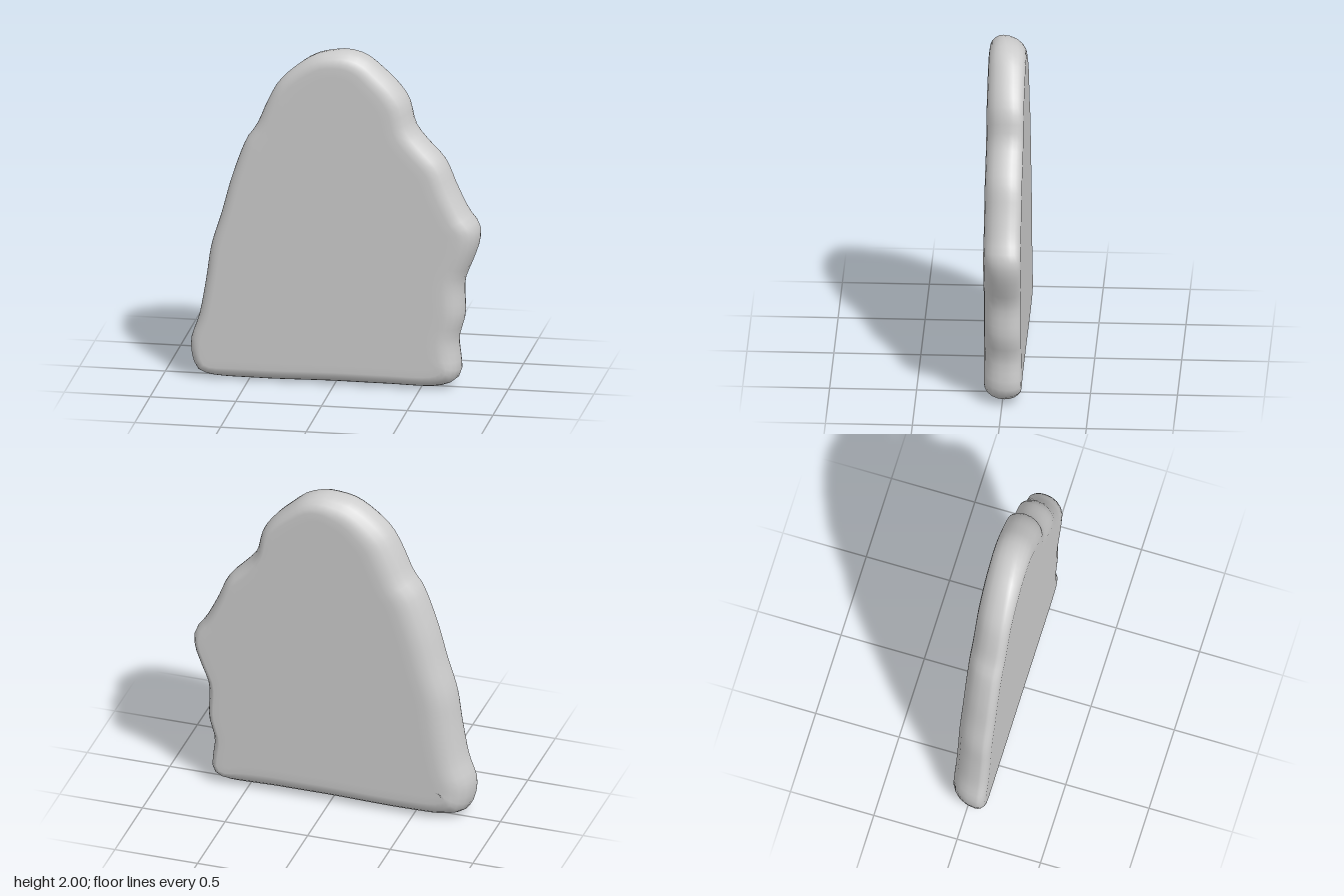
import * as THREE from 'three';

// Silhouette, counter-clockwise from the lower right corner
const OUTLINE = [
  [0.62, 0.015], [0.70, 0.05], [0.725, 0.1], [0.72, 0.18], [0.71, 0.29], [0.745, 0.43], [0.745, 0.64],
  [0.79, 0.76], [0.83, 0.88], [0.83, 0.97], [0.77, 1.06], [0.7, 1.2], [0.63, 1.36], [0.53, 1.47],
  [0.46, 1.56], [0.42, 1.71], [0.36, 1.8], [0.27, 1.89], [0.17, 1.97], [0.07, 2], [-0.02, 1.995],
  [-0.12, 1.97], [-0.24, 1.89], [-0.33, 1.8], [-0.39, 1.69], [-0.46, 1.53], [-0.51, 1.46], [-0.6, 1.22],
  [-0.66, 1], [-0.72, 0.8], [-0.75, 0.6], [-0.79, 0.38], [-0.84, 0.21], [-0.8, 0.05], [-0.72, 0.015],
  [-0.45, 0.003], [0, 0.01], [0.3, 0.01],
];
const SEGMENTS = 120, STEPS = 5;
const FRONT = 0.107, BACK = -0.11;

function slabGeometry() {
  const curve = new THREE.CatmullRomCurve3(OUTLINE.map(([x, y]) => new THREE.Vector3(x, y, 0)), true);
  const pts = curve.getSpacedPoints(SEGMENTS).slice(0, SEGMENTS);
  const at = (i) => pts[(i + SEGMENTS) % SEGMENTS];

  // Outward direction, averaged over neighbours so that insets stay clean
  const normals = pts.map((_, i) => {
    const d = at(i + 3).clone().sub(at(i - 3)).normalize();
    return new THREE.Vector2(d.y, -d.x);
  });

  // Rounded rim: the bevel leans backward on the left edge, forward on the right
  const rings = [];
  const addRing = (place) => rings.push(pts.map((p, i) => {
    const n = normals[i], { inset, z } = place(n.x, n.y);
    return [p.x - n.x * inset, Math.max(0, p.y - n.y * inset), z];
  }));
  const frontBevel = (nx, ny) => 0.09 + 0.03 * nx - 0.02 * Math.max(0, -ny);
  const backBevel = (nx) => 0.1 - 0.055 * nx;
  const ridge = (nx) => 0.015 - 0.045 * nx;

  addRing((nx, ny) => ({ inset: frontBevel(nx, ny) + 0.05, z: FRONT }));
  for (let s = STEPS; s >= 0; s--) {
    const a = (s / STEPS) * Math.PI / 2;
    addRing((nx, ny) => ({
      inset: frontBevel(nx, ny) * (1 - Math.cos(a)),
      z: ridge(nx) + (FRONT - ridge(nx)) * Math.sin(a),
    }));
  }
  for (let s = 1; s <= STEPS; s++) {
    const a = (s / STEPS) * Math.PI / 2;
    addRing((nx) => ({
      inset: backBevel(nx) * (1 - Math.cos(a)),
      z: ridge(nx) + (BACK - ridge(nx)) * Math.sin(a),
    }));
  }
  addRing((nx) => ({ inset: backBevel(nx) + 0.05, z: BACK }));

  // Stitch the rings, then close the two broad faces
  const positions = rings.flat(2), index = [];
  for (let r = 0; r < rings.length - 1; r++) {
    for (let i = 0; i < SEGMENTS; i++) {
      const j = (i + 1) % SEGMENTS;
      const a = r * SEGMENTS + i, b = r * SEGMENTS + j;
      const c = a + SEGMENTS, d = b + SEGMENTS;
      index.push(a, c, b, b, c, d);
    }
  }
  const frontCentre = positions.length / 3, backCentre = frontCentre + 1;
  positions.push(0, 0.85, FRONT, 0, 0.85, BACK);
  const last = (rings.length - 1) * SEGMENTS;
  for (let i = 0; i < SEGMENTS; i++) {
    const j = (i + 1) % SEGMENTS;
    index.push(frontCentre, i, j, backCentre, last + j, last + i);
  }

  const geometry = new THREE.BufferGeometry();
  geometry.setAttribute('position', new THREE.Float32BufferAttribute(positions, 3));
  geometry.setIndex(index);
  geometry.computeVertexNormals();
  return geometry;
}

export function createModel() {
  const model = new THREE.Group();
  model.name = 'standingStone';
  const slab = new THREE.Mesh(slabGeometry(), new THREE.MeshStandardMaterial({ color: 0xcccccc }));
  slab.name = 'stoneSlab';
  model.add(slab);
  return model;
}
